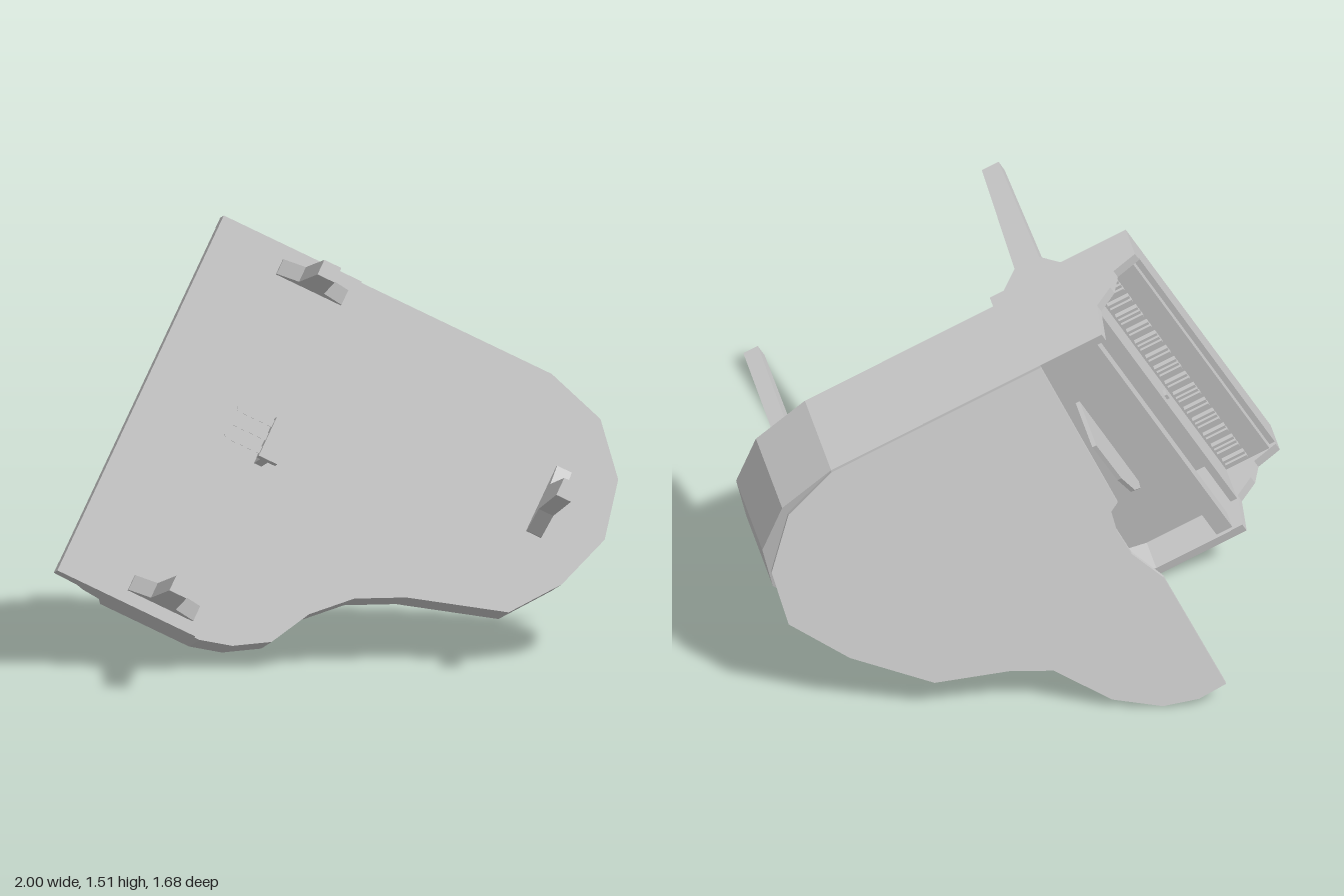
import * as THREE from 'three';

// Local frame: x = across the keyboard, y = up from the keybed, z = minus the distance from the front edge.
const WIDTH = 1.337, RIM_TOP = 0.355;
const grey = new THREE.MeshStandardMaterial({ color: 0xcacaca });
grey.name = 'case grey';

// Case outline as [across, distance from front], treble side first
const outline = [
  [0, 0.21], [0, 0.54], [0.03, 0.65], [0.1, 0.765], [0.24, 0.84], [0.355, 0.957], [0.435, 1.115],
  [0.54, 1.452], [0.705, 1.575], [0.905, 1.642], [1.11, 1.597], [1.27, 1.455], [WIDTH, 1.24], [WIDTH, 0.21],
];

const toShape = (pts) => new THREE.Shape(pts.map(([x, y]) => new THREE.Vector2(x, y)));

// Moves an open outline inward by d
function inset(pts, d) {
  return pts.map((p, i) => {
    const dir = (a, b) => new THREE.Vector2(b[0] - a[0], b[1] - a[1]).normalize();
    const u = dir(pts[Math.max(i - 1, 0)], pts[Math.max(i, 1)]);
    const v = dir(pts[Math.min(i, pts.length - 2)], pts[Math.min(i + 1, pts.length - 1)]);
    const t = u.clone().add(v).normalize();
    const k = d / t.dot(u);
    return [p[0] + t.y * k, p[1] - t.x * k];
  });
}

function addMesh(parent, name, geometry) {
  const mesh = new THREE.Mesh(geometry, grey);
  mesh.name = name;
  parent.add(mesh);
  return mesh;
}

// Horizontal slab from a plan shape, between two heights
function slab(parent, name, shape, h0, h1) {
  const g = new THREE.ExtrudeGeometry(shape, { depth: h1 - h0, bevelEnabled: false, curveSegments: 6 });
  g.rotateX(-Math.PI / 2).translate(0, h0, 0);
  return addMesh(parent, name, g);
}

// Box given by its ranges across, up and back
function block(parent, name, a0, a1, h0, h1, l0, l1) {
  const g = new THREE.BoxGeometry(a1 - a0, h1 - h0, l1 - l0);
  g.translate((a0 + a1) / 2, (h0 + h1) / 2, -(l0 + l1) / 2);
  return addMesh(parent, name, g);
}

// Leg with a flared bracket
function addLeg(parent, name, a, l, top, turned) {
  const side = [[0.122, 0], [0.122, -0.025], [0.047, -0.1], [0.032, -0.54 - top]];
  const pts = [...side, ...side.slice().reverse().map(([x, y]) => [-x, y])];
  const g = new THREE.ExtrudeGeometry(toShape(pts), { depth: 0.055, bevelEnabled: false });
  g.translate(0, 0, -0.0275);
  if (turned) g.rotateY(Math.PI / 2);
  addMesh(parent, name, g).position.set(a, top, -l);
}

function addCase(piano) {
  slab(piano, 'rim', toShape([...outline, ...inset(outline, 0.038).reverse()]), 0.04, RIM_TOP);
  const inner = inset(outline, 0.02).slice(1, -1);
  slab(piano, 'soundboard', toShape([[0.02, 0.3], ...inner, [WIDTH - 0.02, 0.3]]), 0.04, 0.24);
  block(piano, 'keybed', 0, WIDTH, 0, 0.06, 0, 0.52);

  // Curved cheeks at both ends of the keyboard
  const cheek = toShape([[0, 0], [0, 0.11], [0.09, 0.135], [0.12, 0.19], [0.185, 0.235], [0.205, RIM_TOP], [0.25, RIM_TOP], [0.25, 0]]);
  for (const a of [0, WIDTH - 0.04]) {
    const g = new THREE.ExtrudeGeometry(cheek, { depth: 0.04, bevelEnabled: false });
    g.rotateY(Math.PI / 2).translate(a, 0, 0);
    addMesh(piano, 'cheek', g);
  }
}

function addKeyboard(piano) {
  block(piano, 'keySlip', 0.04, WIDTH - 0.04, 0.06, 0.1, 0, 0.02);
  block(piano, 'whiteKeys', 0.04, WIDTH - 0.04, 0.06, 0.115, 0.025, 0.2);
  const octave = (WIDTH - 0.1) / 7;
  for (let o = 0; o < 7; o++) {
    for (const k of [1, 2, 4, 5, 6]) {
      const a = 0.05 + octave * (o + k / 7);
      block(piano, 'blackKey', a - 0.007, a + 0.007, 0.115, 0.13, 0.1, 0.18);
    }
  }
  block(piano, 'fallboard', 0.04, WIDTH - 0.04, 0.06, 0.245, 0.19, 0.215);
  block(piano, 'lock', 0.655, 0.68, 0.18, 0.205, 0.18, 0.19);
  block(piano, 'topBeam', 0.04, WIDTH - 0.04, 0.28, 0.345, 0.24, 0.3);

  // Upright music desk with a shaped upper edge
  const desk = toShape([[0.91, 0.23], [0.91, 0.44], [0.67, 0.43], [0.5, 0.37], [0.38, 0.28], [0.36, 0.23]]);
  const g = new THREE.ExtrudeGeometry(desk, { depth: 0.015, bevelEnabled: false });
  addMesh(piano, 'musicDesk', g.translate(0, 0, -0.445));
}

function addLid(piano) {
  const hinge = new THREE.Group();
  hinge.name = 'lid';
  hinge.position.set(WIDTH, RIM_TOP, 0);
  hinge.rotation.z = -THREE.MathUtils.degToRad(30.5);
  const plan = [
    [WIDTH, 0.44], [0.77, 0.44], [0.75, 0.475], [0.68, 0.49], [0.58, 0.485], [0.45, 0.43], [0, 0.425],
    [-0.005, 0.53], [0.03, 0.65], [0.135, 0.79], [0.325, 0.915], [0.395, 1.045], [0.48, 1.29],
    [0.7, 1.5], [0.91, 1.625], [1.107, 1.588], [1.268, 1.44], [WIDTH, 1.24],
  ];
  slab(hinge, 'lidPanel', toShape(plan.map(([a, l]) => [a - WIDTH, l])), 0, 0.02);
  piano.add(hinge);

  // Prop stick from the treble rim up to the lid
  const from = new THREE.Vector3(0.03, 0.33, -0.59), to = new THREE.Vector3(0.433, 0.88, -0.59);
  const prop = addMesh(piano, 'propStick', new THREE.BoxGeometry(0.03, from.distanceTo(to), 0.04));
  prop.position.copy(from).lerp(to, 0.5);
  prop.rotation.z = -Math.atan2(to.x - from.x, to.y - from.y);
}

function addPedals(piano) {
  const mid = WIDTH / 2;
  block(piano, 'pedalBox', mid - 0.073, mid + 0.073, -0.48, -0.405, 0.42, 0.49);
  for (const s of [-1, 1]) {
    const a = mid + s * 0.037;
    block(piano, 'pedalRod', a - 0.012, a + 0.012, -0.41, 0.01, 0.45, 0.478);
  }
  for (const s of [-1, 0, 1]) {
    const a = mid + s * 0.05;
    const pedal = new THREE.Shape();
    pedal.moveTo(a + 0.013, 0.425);
    pedal.lineTo(a - 0.013, 0.425);
    pedal.absarc(a, 0.3, 0.014, Math.PI, Math.PI * 2, false);
    slab(piano, 'pedal', pedal, -0.45, -0.447);
  }
}

export function createModel() {
  const model = new THREE.Group();
  model.name = 'grandPiano';
  const piano = new THREE.Group();
  piano.name = 'tiltedPiano';
  model.add(piano);

  addCase(piano);
  addKeyboard(piano);
  addLid(piano);
  addPedals(piano);
  addLeg(piano, 'frontLeg', 0.07, 0.367, 0, true);
  addLeg(piano, 'frontLeg', 1.26, 0.367, 0, true);
  addLeg(piano, 'backLeg', 0.938, 1.415, 0.04, false);

  // Tip the whole instrument so its underside faces the front
  const across = new THREE.Vector3(0.478, 0.866, -0.142).normalize();
  const back = new THREE.Vector3(0.861, -0.442, 0.25);
  const up = across.clone().cross(back).normalize();
  const forward = across.clone().cross(up);
  piano.quaternion.setFromRotationMatrix(new THREE.Matrix4().makeBasis(across, up, forward));
  piano.position.set(-1, 0.356, 0.08);
  return model;
}
